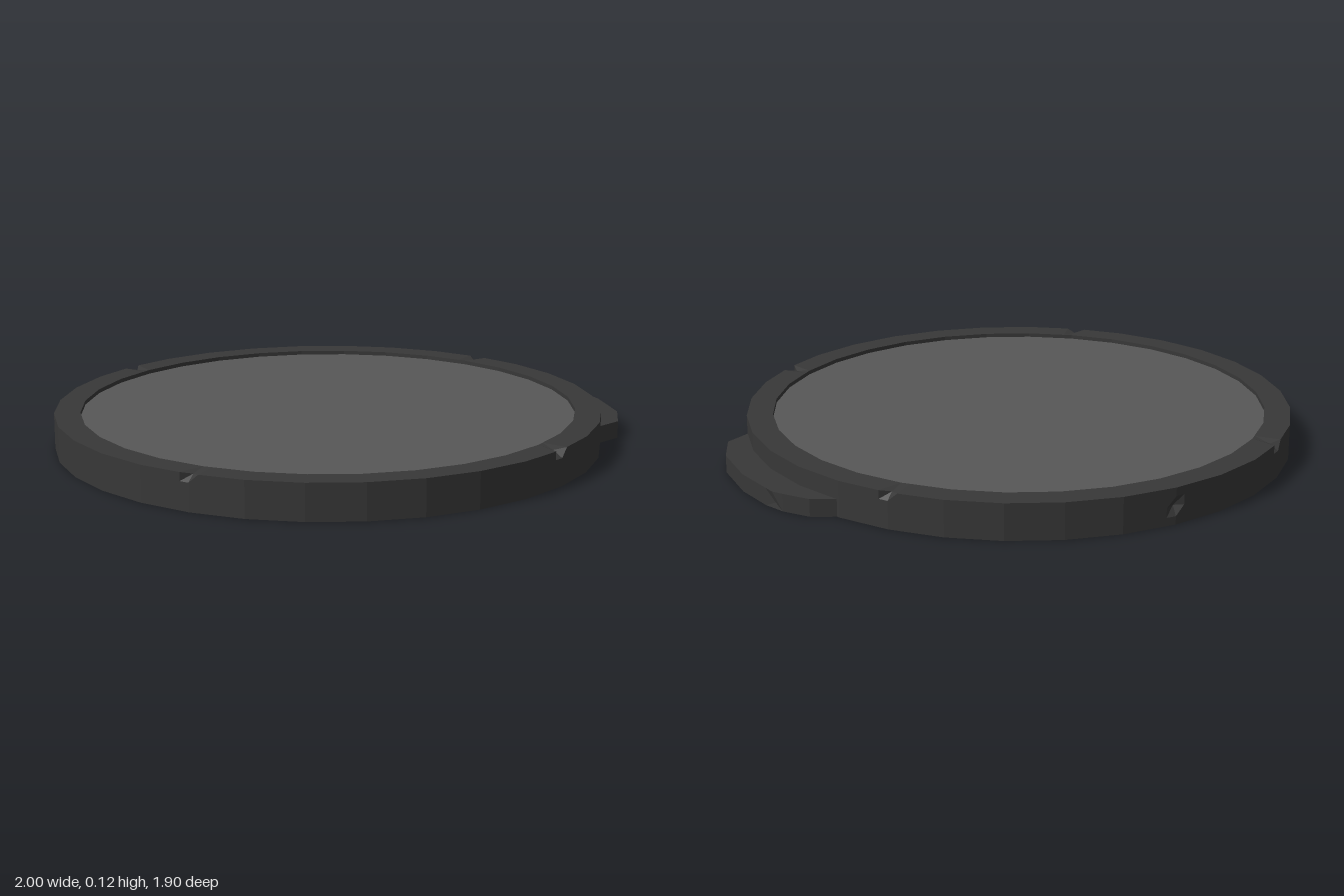
import * as THREE from 'three';

const CX = -0.05, R = 0.95, INNER = 0.86, H = 0.124, FLOOR = 0.11, SIDES = 32;
const STEP = (Math.PI * 2) / SIDES;

// Small nicks: corner index on the rim, profile row, inward depth, drop
const NICKS = [
  { corner: 5, row: 4, depth: 0.035, drop: 0.008 },
  { corner: 12, row: 4, depth: 0.03, drop: 0.008 },
  { corner: 21, row: 4, depth: 0.03, drop: 0.008 },
  { corner: 29, row: 4, depth: 0.03, drop: 0.008 },
  { corner: 24, row: 2, depth: 0.018, drop: 0 },
];

// Distance from the centre to a regular polygon's edge at a given angle
function polygonRadius(radius, a) {
  const local = a - (Math.floor(a / STEP + 1e-6) + 0.5) * STEP;
  return (radius * Math.cos(STEP / 2)) / Math.cos(local);
}

// Base and raised rim, swept around the disc with dents at the nicked corners
function rimGeometry() {
  const profile = [[0, 0], [R, 0], [R, 0.06], [R, 0.095], [R, H], [INNER, H], [INNER, FLOOR]];
  const angles = [];
  for (let i = 0; i < SIDES; i++) {
    const a = i * STEP;
    if (NICKS.some((n) => n.corner === i)) angles.push(a - 0.035, a, a + 0.035);
    else angles.push(a);
  }
  // Extra row so the dent in the wall closes just above the ground
  profile.splice(2, 0, [R, 0.028]);

  const positions = [], indices = [], rows = profile.length;
  for (const a of angles) {
    const nick = NICKS.find((n) => Math.abs(n.corner * STEP - a) < 1e-6);
    profile.forEach(([radius, y], row) => {
      const dent = nick && nick.row + 1 === row;
      const r = polygonRadius(radius, a) - (dent ? nick.depth : 0);
      positions.push(r * Math.cos(a), y - (dent ? nick.drop : 0), r * Math.sin(a));
    });
  }
  for (let i = 0; i < angles.length; i++) {
    const p = i * rows, q = ((i + 1) % angles.length) * rows;
    for (let j = 0; j < rows - 1; j++) {
      if (j > 0) indices.push(p + j, p + j + 1, q + j);
      indices.push(q + j, p + j + 1, q + j + 1);
    }
  }
  const g = new THREE.BufferGeometry();
  g.setAttribute('position', new THREE.Float32BufferAttribute(positions, 3));
  g.setIndex(indices);
  g.computeVertexNormals();
  return g;
}

// Low side tab, with a chip in its lower edge
function tabGeometry() {
  const outline = [
    [0.7, -0.36], [0.82, -0.36], [0.905, -0.31], [0.96, -0.225], [0.98, -0.19], [0.984, -0.15],
    [1, 0], [0.98, 0.19], [0.92, 0.315], [0.82, 0.36], [0.7, 0.36],
  ];
  const shape = new THREE.Shape(outline.map(([x, z]) => new THREE.Vector2(x, -z)));
  const g = new THREE.ExtrudeGeometry(shape, { depth: 0.06, bevelEnabled: false });
  g.rotateX(-Math.PI / 2);
  const p = g.attributes.position;
  for (let i = 0; i < p.count; i++) {
    if (p.getY(i) < 0.01 && Math.abs(p.getZ(i) + 0.19) < 0.005) {
      p.setX(i, p.getX(i) - 0.012);
      p.setY(i, 0.02);
    }
  }
  g.computeVertexNormals();
  return g;
}

export function createModel() {
  const model = new THREE.Group();
  model.name = 'disc';
  const dark = new THREE.MeshStandardMaterial({ color: 0x383838, flatShading: true });
  const grey = new THREE.MeshStandardMaterial({ color: 0x585858, flatShading: true });

  const add = (name, geometry, material) => {
    const mesh = new THREE.Mesh(geometry, material);
    mesh.name = name;
    model.add(mesh);
    return mesh;
  };

  add('rim', rimGeometry(), dark).position.x = CX;
  add('sideTab', tabGeometry(), dark);

  // Recessed top face
  const face = new THREE.CircleGeometry(INNER, SIDES).rotateX(-Math.PI / 2);
  add('insetFace', face, grey).position.set(CX, FLOOR, 0);

  return model;
}
